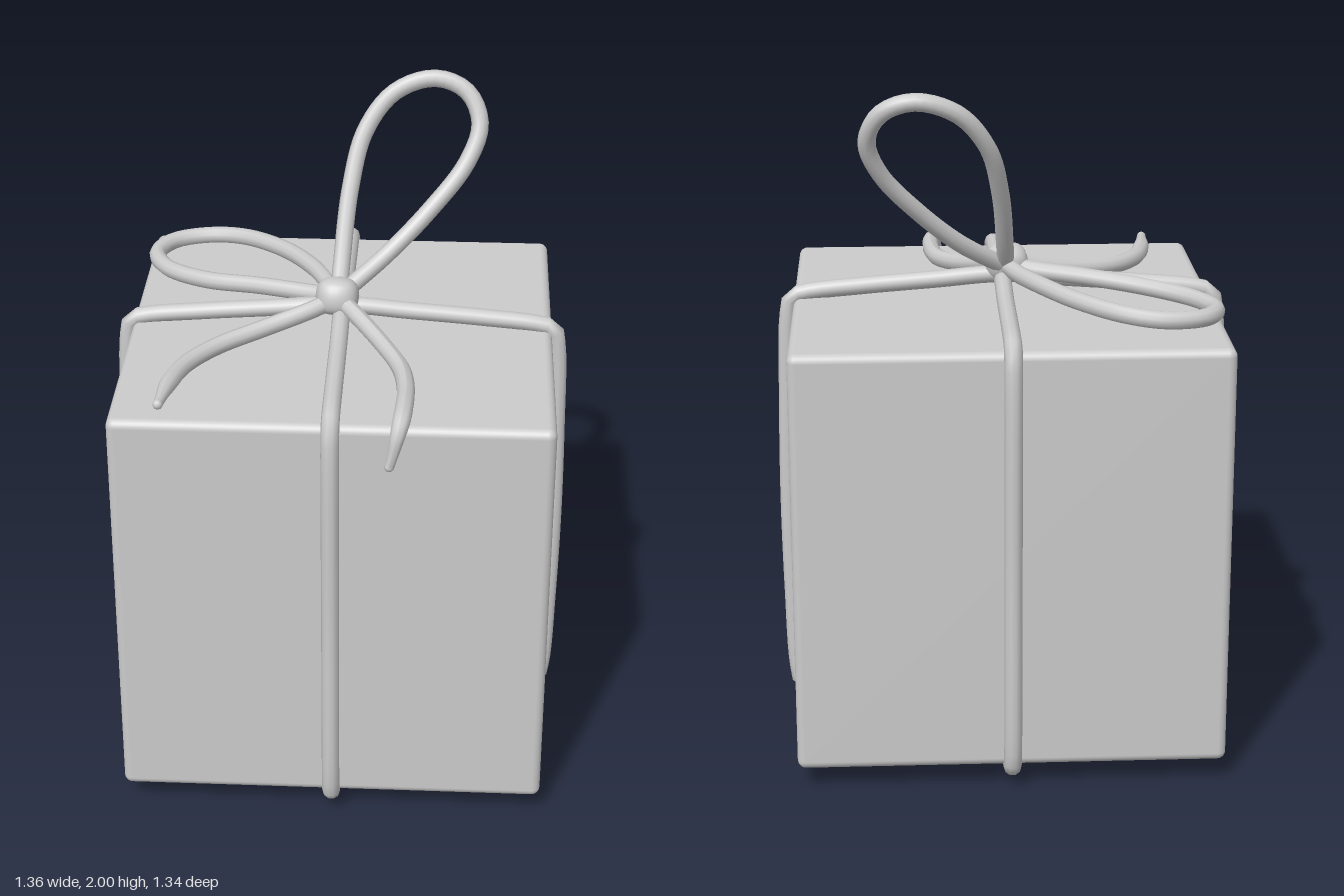
import * as THREE from 'three';
import { RoundedBoxGeometry } from 'three/addons/geometries/RoundedBoxGeometry.js';

const material = new THREE.MeshStandardMaterial({ color: 0xcccccc });
const CORD = 0.026;

function addMesh(parent, name, geometry) {
  const mesh = new THREE.Mesh(geometry, material);
  mesh.name = name;
  parent.add(mesh);
  return mesh;
}

// Round cord through points; a tapered cord narrows to a blunt tip at its last point
function cord(parent, name, points, { closed = false, taper = false, segments = 64 } = {}) {
  const path = new THREE.CatmullRomCurve3(points.map(p => new THREE.Vector3(...p)), closed, 'centripetal');
  const sides = 10;
  const geometry = new THREE.TubeGeometry(path, segments, CORD, sides, closed);
  if (taper) {
    const pos = geometry.attributes.position, v = new THREE.Vector3();
    for (let i = 0; i < pos.count; i++) {
      const t = Math.floor(i / (sides + 1)) / segments;
      const centre = path.getPointAt(t);
      const scale = 1 - 0.45 * THREE.MathUtils.smoothstep(t, 0.8, 1);
      v.fromBufferAttribute(pos, i).sub(centre).multiplyScalar(scale).add(centre);
      pos.setXYZ(i, v.x, v.y, v.z);
    }
    geometry.computeVertexNormals();
    const tip = addMesh(parent, name + 'Tip', new THREE.SphereGeometry(CORD * 0.56, 10, 8));
    tip.position.copy(path.getPointAt(1));
  }
  return addMesh(parent, name, geometry);
}

// Closed wrap outline: half profile (across, height) mirrored to the other side
function wrapOutline(half, top, bottom, place) {
  const mirrored = half.map(([a, y]) => [-a, y]).reverse();
  return [[0, top], ...half, [0, bottom], ...mirrored].map(([a, y]) => place(a, y));
}

export function createModel() {
  const gift = new THREE.Group();
  gift.name = 'giftBox';

  // Box
  addMesh(gift, 'box', new RoundedBoxGeometry(1.25, 1.255, 1.25, 3, 0.025)).position.y = 0.6975;

  // Two cords wrapped around the box
  const wraps = new THREE.Group();
  wraps.name = 'wraps';
  gift.add(wraps);
  const sideHalf = [[0.2, 1.375], [0.42, 1.358], [0.59, 1.34], [0.63, 1.325], [0.643, 1.27], [0.652, 1.0],
    [0.656, 0.7], [0.652, 0.4], [0.642, 0.13], [0.628, 0.073], [0.58, 0.058], [0.3, 0.049]];
  cord(wraps, 'sideWrap', wrapOutline(sideHalf, 1.39, 0.046, (a, y) => [a, y, -0.006]),
    { closed: true, segments: 140 });
  const frontHalf = [[0.2, 1.36], [0.42, 1.352], [0.59, 1.342], [0.628, 1.325], [0.641, 1.27], [0.643, 0.7],
    [0.642, 0.13], [0.628, 0.072], [0.58, 0.054], [0.3, 0.036]];
  cord(wraps, 'frontWrap', wrapOutline(frontHalf, 1.38, 0.029, (a, y) => [0, y, a]),
    { closed: true, segments: 140 });

  // Bow
  const bow = new THREE.Group();
  bow.name = 'bow';
  gift.add(bow);

  // Knot: a slightly squared, lumpy ball
  const knot = new THREE.SphereGeometry(1, 24, 16);
  const pos = knot.attributes.position;
  for (let i = 0; i < pos.count; i++) {
    const [x, y, z] = [pos.getX(i), pos.getY(i), pos.getZ(i)];
    const k = Math.pow(x ** 4 + y ** 4 + z ** 4, -0.12) * (1 + 0.05 * Math.sin(3 * x + 2 * z) * Math.cos(2 * y));
    pos.setXYZ(i, x * k * 0.064, y * k * 0.056, z * k * 0.057);
  }
  knot.computeVertexNormals();
  const knotMesh = addMesh(bow, 'knot', knot);
  knotMesh.position.set(-0.014, 1.423, 0.005);
  knotMesh.rotation.x = -0.25;

  // Standing loop, leaning back
  cord(bow, 'standingLoop', [
    [-0.01, 1.42, -0.02], [-0.004, 1.5, -0.085], [0.015, 1.68, -0.2], [0.055, 1.83, -0.285],
    [0.14, 1.935, -0.335], [0.26, 1.974, -0.352], [0.355, 1.94, -0.338], [0.396, 1.855, -0.3],
    [0.36, 1.75, -0.25], [0.25, 1.62, -0.18], [0.13, 1.51, -0.11], [0, 1.42, -0.02]]);

  // Lying loop
  cord(bow, 'lyingLoop', [
    [-0.01, 1.42, -0.01], [-0.04, 1.412, -0.09], [-0.1, 1.41, -0.22], [-0.2, 1.4, -0.365],
    [-0.33, 1.387, -0.475], [-0.44, 1.378, -0.503], [-0.55, 1.374, -0.465], [-0.594, 1.372, -0.375],
    [-0.55, 1.374, -0.265], [-0.42, 1.384, -0.165], [-0.25, 1.4, -0.1], [-0.08, 1.41, -0.035],
    [-0.01, 1.42, 0]]);

  // Loose ends
  cord(bow, 'rightTail', [
    [-0.02, 1.415, 0.01], [-0.09, 1.398, 0.055], [-0.22, 1.37, 0.12], [-0.35, 1.354, 0.21],
    [-0.43, 1.351, 0.32], [-0.465, 1.352, 0.44], [-0.481, 1.356, 0.575]], { taper: true });
  cord(bow, 'leftTail', [
    [0, 1.415, 0.02], [0.045, 1.4, 0.08], [0.13, 1.37, 0.21], [0.185, 1.357, 0.33], [0.203, 1.356, 0.45],
    [0.201, 1.355, 0.56], [0.195, 1.343, 0.615], [0.186, 1.31, 0.643], [0.175, 1.26, 0.653],
    [0.165, 1.222, 0.655]], { taper: true });

  return gift;
}
